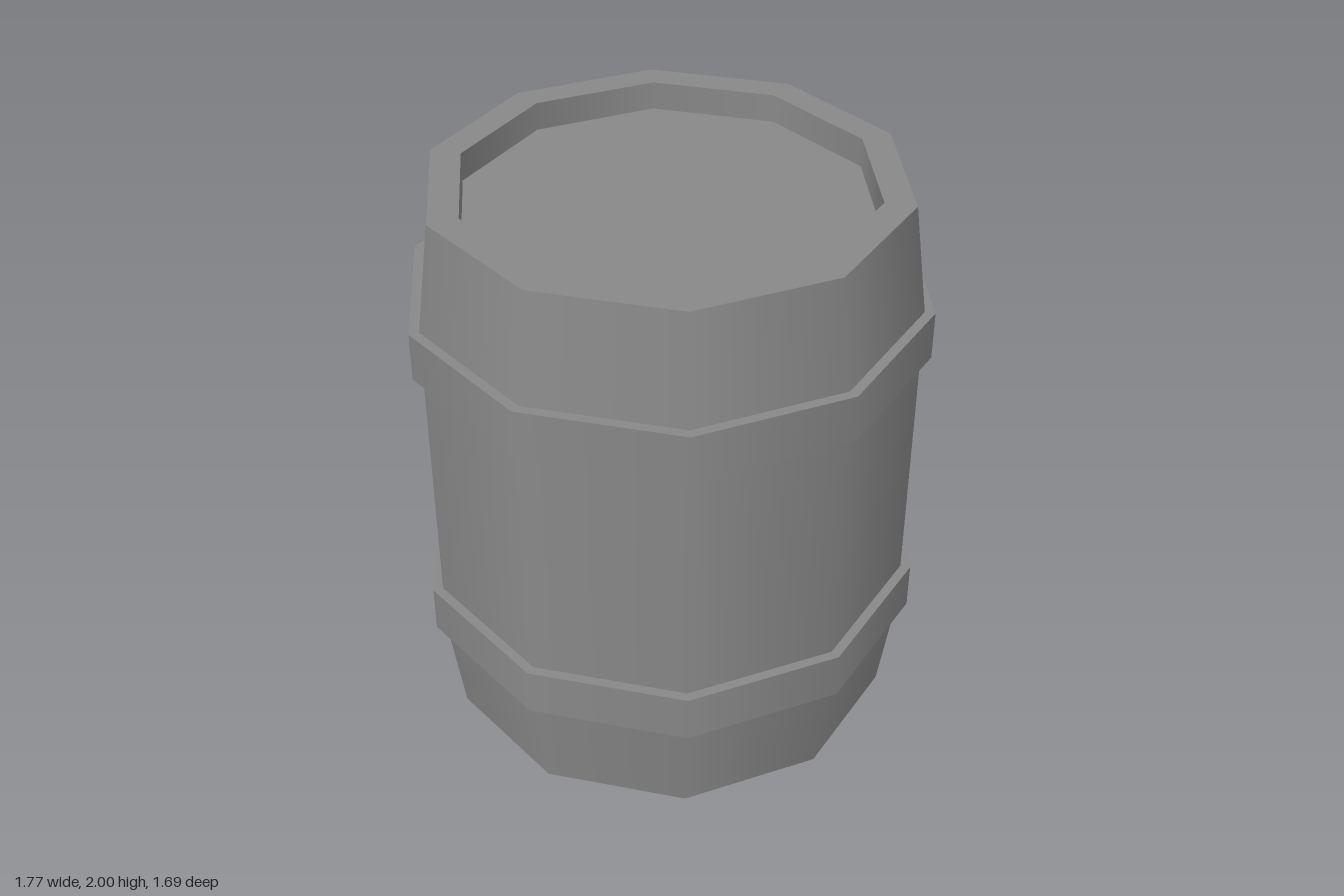
import * as THREE from 'three';
import { mergeGeometries } from 'three/addons/utils/BufferGeometryUtils.js';

const SIDES = 10;

// Revolve each profile span on its own: smooth around, sharp between spans.
function turned(name, profile, material) {
  const spans = [];
  for (let i = 0; i < profile.length - 1; i++) {
    const pair = [profile[i], profile[i + 1]].map(([r, y]) => new THREE.Vector2(r, y));
    const span = new THREE.LatheGeometry(pair, SIDES, Math.PI / 2);
    span.normalizeNormals(); // the lathe leaves its last ring of normals unscaled
    spans.push(span);
  }
  const mesh = new THREE.Mesh(mergeGeometries(spans), material);
  mesh.name = name;
  return mesh;
}

export function createModel() {
  const group = new THREE.Group();
  group.name = 'barrel';
  const material = new THREE.MeshStandardMaterial({ color: 0x888888 });

  // Body with tapered ends and a recessed lid at top and bottom
  group.add(turned('body', [
    [0, 0.1], [0.695, 0.1], [0.695, 0], [0.8, 0], [0.852, 0.383],
    [0.852, 1.62], [0.8, 2], [0.695, 2], [0.695, 1.9], [0, 1.9],
  ], material));

  // Hoops around the two shoulders
  for (const [name, y] of [['lowerHoop', 0.383], ['upperHoop', 1.45]]) {
    group.add(turned(name, [
      [0.852, y], [0.887, y], [0.887, y + 0.171], [0.852, y + 0.171],
    ], material));
  }
  return group;
}
